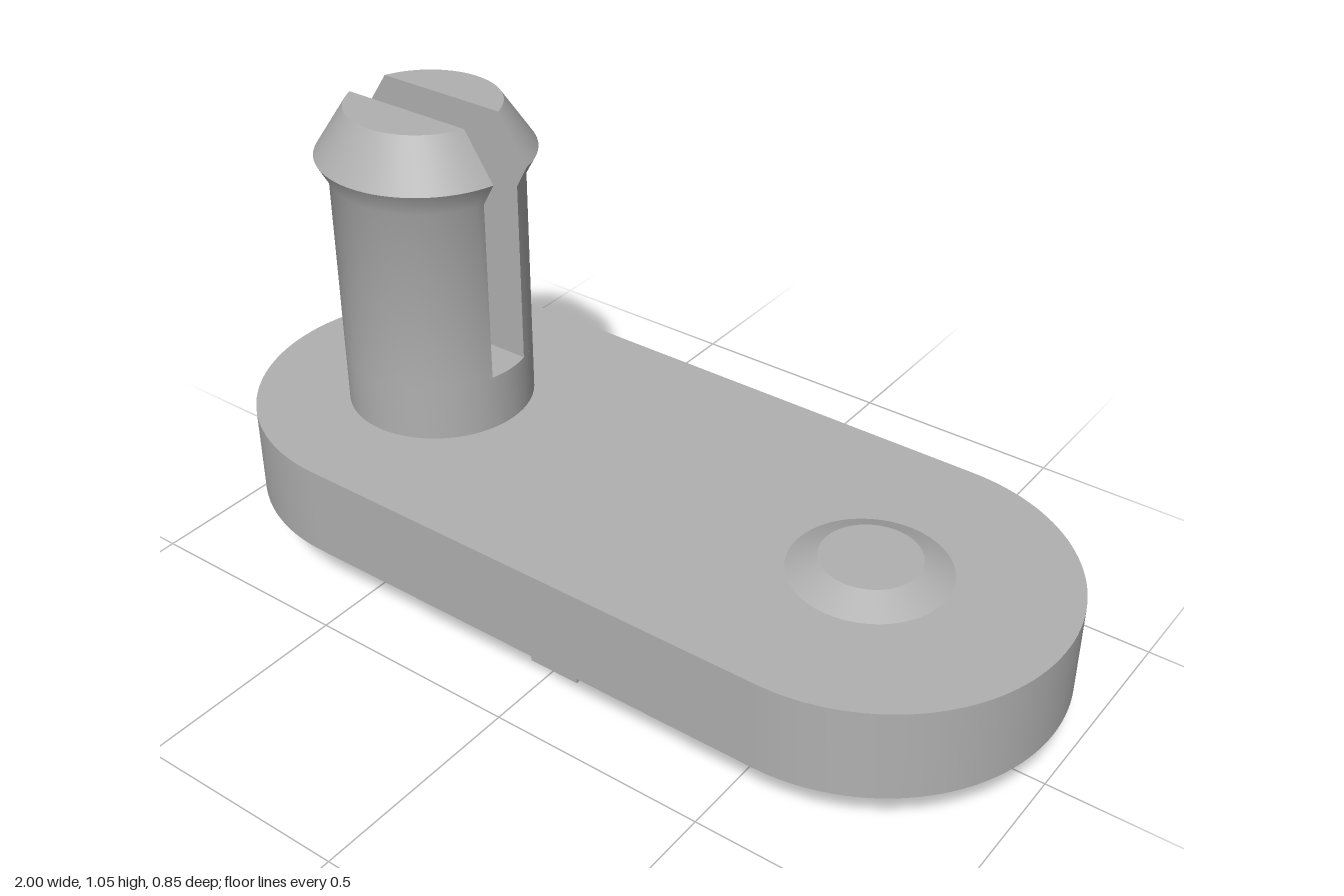
import * as THREE from 'three';
import { toCreasedNormals } from 'three/addons/utils/BufferGeometryUtils.js';

const PIN_X = -0.575;
const CREASE = 0.6;

// Solid half of a turned pin, cut flat at z = gap; profile is [radius, y] from bottom to top
function splitHalf(profile, gap, segments) {
  const rings = profile.map(([r, y]) => {
    const start = Math.asin(gap / r);
    return Array.from({ length: segments + 1 }, (_, i) => {
      const a = start + (Math.PI - 2 * start) * i / segments;
      return [r * Math.cos(a), y, r * Math.sin(a)];
    });
  });
  const pos = [];
  const tri = (a, b, c) => pos.push(...a, ...b, ...c);
  const n = segments + 1;
  // Curved skin plus the flat slot wall that closes each ring
  for (let k = 0; k < rings.length - 1; k++) {
    const lo = rings[k], hi = rings[k + 1];
    for (let i = 0; i < n; i++) {
      const j = (i + 1) % n;
      tri(lo[i], hi[i], hi[j]);
      tri(lo[i], hi[j], lo[j]);
    }
  }
  // Flat top
  const top = rings[rings.length - 1];
  for (let i = 1; i < n - 1; i++) tri(top[0], top[i + 1], top[i]);
  const geo = new THREE.BufferGeometry();
  geo.setAttribute('position', new THREE.Float32BufferAttribute(pos, 3));
  return toCreasedNormals(geo, CREASE);
}

export function createModel() {
  const model = new THREE.Group();
  model.name = 'latch';
  const grey = new THREE.MeshStandardMaterial({ color: 0xb0b0b0 });
  grey.name = 'grey plastic';

  const add = (name, geometry, x, y, z, parent = model) => {
    const mesh = new THREE.Mesh(geometry, grey);
    mesh.name = name;
    mesh.position.set(x, y, z);
    parent.add(mesh);
    return mesh;
  };

  // Plate with round ends
  const r = 0.425, cx = 1 - r;
  const outline = new THREE.Shape();
  outline.moveTo(-cx, -r);
  outline.lineTo(cx, -r);
  outline.absarc(cx, 0, r, -Math.PI / 2, Math.PI / 2, false);
  outline.lineTo(-cx, r);
  outline.absarc(-cx, 0, r, Math.PI / 2, Math.PI * 1.5, false);
  const plate = new THREE.ExtrudeGeometry(outline, { depth: 0.21, bevelEnabled: false, curveSegments: 32 });
  plate.rotateX(-Math.PI / 2);
  add('plate', toCreasedNormals(plate, CREASE), 0, 0.13, 0);

  // Rib under the plate
  add('rib', new THREE.BoxGeometry(0.125, 0.13, 0.64), 0.002, 0.065, 0);

  // Low bump on the top
  add('bump', new THREE.CylinderGeometry(0.107, 0.172, 0.033, 48), 0.57, 0.3565, 0);

  // Split snap pin: solid foot and two barbed halves
  const pin = new THREE.Group();
  pin.name = 'snapPin';
  pin.position.x = PIN_X;
  model.add(pin);
  add('pinFoot', new THREE.CylinderGeometry(0.212, 0.212, 0.13, 64), 0, 0.405, 0, pin);
  const half = splitHalf([[0.212, 0.47], [0.212, 0.895], [0.24, 0.948], [0.17, 1.055]], 0.054, 32);
  add('pinHalfFront', half, 0, 0, 0, pin);
  add('pinHalfBack', half, 0, 0, 0, pin).rotation.y = Math.PI;

  return model;
}
